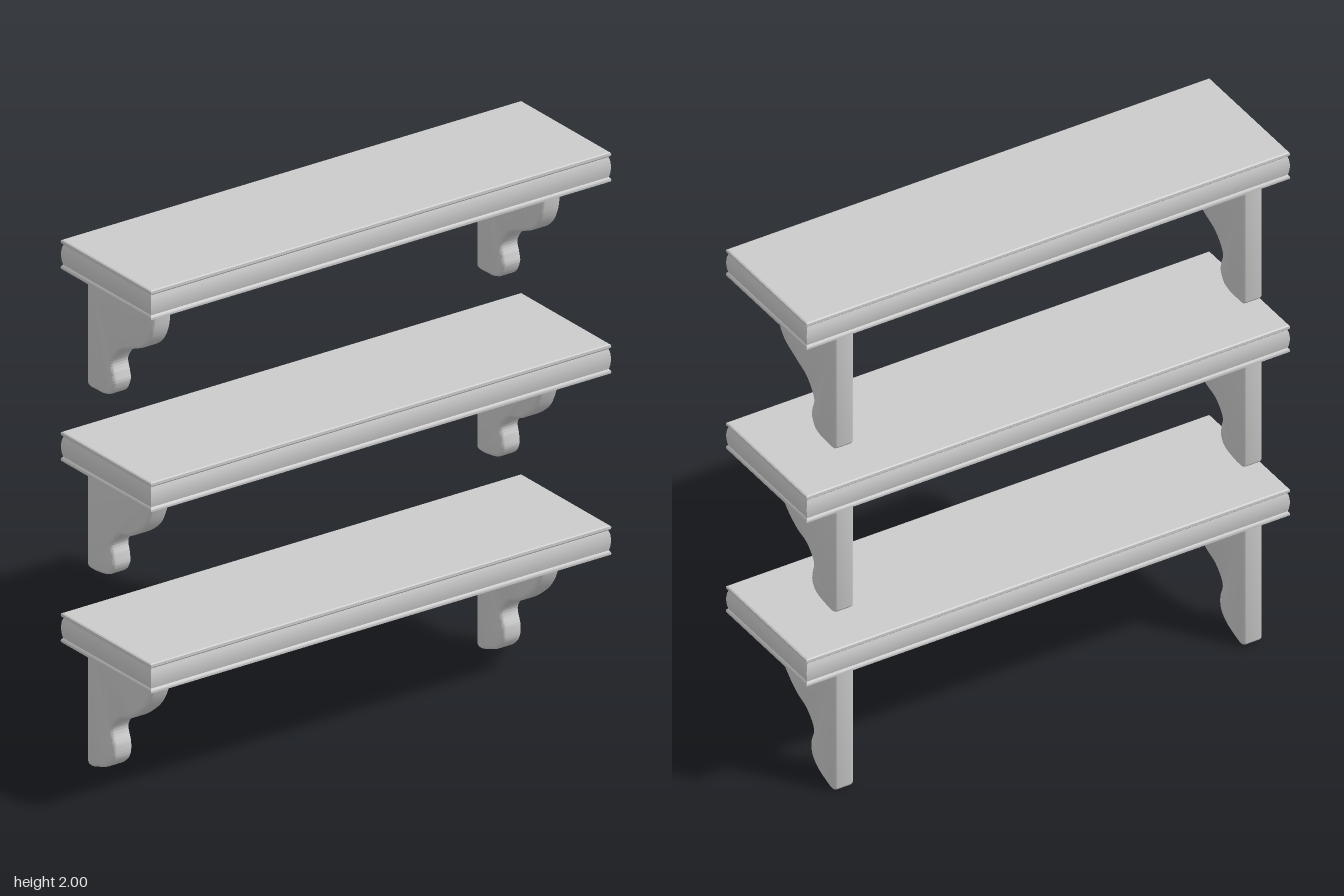
import * as THREE from 'three';
import { toCreasedNormals } from 'three/addons/utils/BufferGeometryUtils.js';

const material = new THREE.MeshStandardMaterial({ color: 0xcccccc });

// Board with a moulded edge: rectangles stacked along an [inset, height] profile
function boardGeometry(width, depth) {
  const edge = [[0.007, 0], [0.001, 0.003], [0, 0.008], [0.001, 0.013], [0.006, 0.019], [0.003, 0.032],
    [0.001, 0.05], [0.001, 0.064], [0.003, 0.082], [0.007, 0.094], [0.001, 0.1], [0, 0.105],
    [0.001, 0.11], [0.006, 0.113]];
  const corners = [[1, 1], [1, -1], [-1, -1], [-1, 1]];
  const positions = [], index = [];
  for (const [inset, y] of edge) {
    for (const [sx, sz] of corners) positions.push(sx * (width / 2 - inset), y, sz * (depth / 2 - inset));
  }
  for (let r = 0; r < edge.length - 1; r++) {
    for (let c = 0; c < 4; c++) {
      const a = r * 4 + c, b = r * 4 + (c + 1) % 4;
      index.push(a, b, b + 4, a, b + 4, a + 4);
    }
  }
  const t = (edge.length - 1) * 4;
  index.push(t, t + 1, t + 2, t, t + 2, t + 3, 0, 2, 1, 0, 3, 2);
  const geometry = new THREE.BufferGeometry();
  geometry.setAttribute('position', new THREE.Float32BufferAttribute(positions, 3));
  geometry.setIndex(index);
  return toCreasedNormals(geometry, 0.5);
}

// Scrolled bracket: outline in (z, y) with y = 0 at the board's underside
function bracketGeometry(curve, bottomY) {
  const thickness = 0.078, bevel = 0.012, back = -0.257;
  const shape = new THREE.Shape();
  shape.moveTo(back, 0.003);
  shape.lineTo(back, bottomY + 0.02);
  const [endZ, endY] = curve[curve.length - 1];
  shape.quadraticCurveTo(back, bottomY, back + 0.022, bottomY);
  shape.lineTo(endZ, endY);
  shape.splineThru(curve.slice(0, -1).reverse().map(([z, y]) => new THREE.Vector2(z, y)));
  shape.lineTo(curve[0][0], 0.003);
  shape.closePath();
  const geometry = new THREE.ExtrudeGeometry(shape, {
    depth: thickness - 2 * bevel, bevelEnabled: true, bevelThickness: bevel,
    bevelSize: bevel, bevelOffset: -bevel, bevelSegments: 3, curveSegments: 36,
  });
  geometry.translate(0, 0, bevel - thickness / 2);
  geometry.rotateY(-Math.PI / 2);
  return toCreasedNormals(geometry, 0.6);
}

// Each tier: underside height of its board, bracket depth and scroll outline
const tiers = [
  { name: 'lower', y: 0.487, bottom: -0.482, curve: [[0.13, -0.01], [0.12, -0.08], [0.077, -0.151], [0, -0.215],
    [-0.07, -0.247], [-0.113, -0.3], [-0.098, -0.36], [-0.104, -0.412], [-0.145, -0.452], [-0.22, -0.48]] },
  { name: 'middle', y: 1.167, bottom: -0.422, curve: [[0.13, -0.01], [0.12, -0.065], [0.077, -0.153], [0, -0.212],
    [-0.07, -0.238], [-0.113, -0.286], [-0.106, -0.328], [-0.104, -0.37], [-0.135, -0.407], [-0.21, -0.422]] },
  { name: 'upper', y: 1.887, bottom: -0.462, curve: [[0.135, -0.01], [0.121, -0.122], [0.077, -0.192], [0, -0.232],
    [-0.07, -0.265], [-0.114, -0.322], [-0.105, -0.367], [-0.1, -0.402], [-0.124, -0.445], [-0.167, -0.46]] },
];

export function createModel() {
  const model = new THREE.Group();
  model.name = 'wallShelves';
  const board = boardGeometry(1.938, 0.524);

  for (const tier of tiers) {
    const shelf = new THREE.Group();
    shelf.name = `${tier.name}Shelf`;
    shelf.position.y = tier.y;

    const plank = new THREE.Mesh(board, material);
    plank.name = 'board';
    shelf.add(plank);

    // One bracket near each end
    const bracket = bracketGeometry(tier.curve, tier.bottom);
    for (const [name, x] of [['leftBracket', 0.814], ['rightBracket', -0.824]]) {
      const mesh = new THREE.Mesh(bracket, material);
      mesh.name = name;
      mesh.position.x = x;
      shelf.add(mesh);
    }
    model.add(shelf);
  }
  return model;
}
